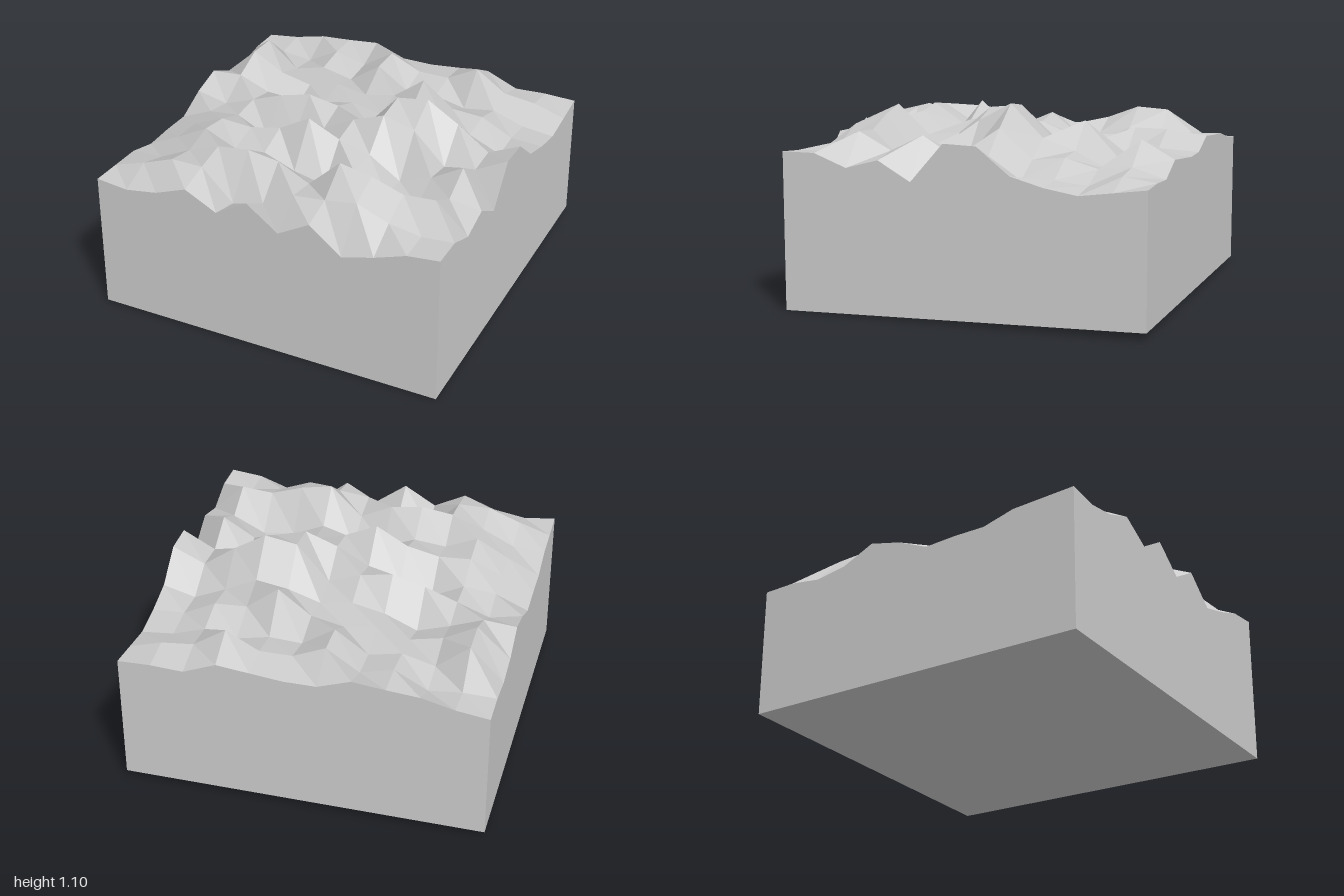
import * as THREE from 'three';

const N = 11; // cells along each side

// Ground cross-sections from -x to +x; each runs back to front, in hundredths
const SECTIONS = [
  [76, 76.5, 74, 77, 85.5, 81, 73, 74, 74, 79, 80, 81],
  [78.5, 77, 93, 94, 87, 77, 81, 82, 83, 80, 86, 79],
  [83, 75, 78, 84, 80, 84, 83, 90, 93, 89, 93, 82],
  [84.5, 85, 83, 80, 74, 91, 74, 89, 85, 96, 93, 89],
  [86.5, 80, 79, 85, 82, 96, 80, 93, 87, 98.5, 75, 79.5],
  [80, 92, 92, 82, 86, 93, 88, 103.5, 80, 96, 80, 90.5],
  [80, 84, 80, 86, 83, 86, 98, 95, 76, 87, 90, 77],
  [82, 84, 81, 100, 89, 107, 105, 90, 88, 104.5, 92, 87.5],
  [84, 94, 77, 86, 92, 110, 100, 78, 80, 101, 95, 73],
  [76.5, 82, 80, 85, 83, 99, 82, 85, 78, 95, 88, 78],
  [77.5, 80, 74, 76, 75, 86, 85, 96, 87, 96.5, 85, 84.5],
  [77, 74.5, 72, 75, 80, 94.5, 95, 74, 84.5, 79.5, 86.5, 86.5],
];

const coord = (i) => -1 + (2 * i) / N;
const top = (i, j) => [coord(i), SECTIONS[i][j] / 100, coord(j)];

// Underside is slightly tilted, blended between its four corners
const lerp = THREE.MathUtils.lerp;
const bottom = (i, j) => [
  coord(i),
  lerp(lerp(0.025, 0.04, i / N), lerp(0.015, 0, i / N), j / N),
  coord(j),
];

// Faceted mesh from quads whose corners run counter-clockwise
function quadMesh(name, quads) {
  const positions = [];
  for (const [a, b, c, d] of quads) positions.push(...a, ...b, ...c, ...a, ...c, ...d);
  const geometry = new THREE.BufferGeometry();
  geometry.setAttribute('position', new THREE.Float32BufferAttribute(positions, 3));
  geometry.computeVertexNormals();
  const material = new THREE.MeshStandardMaterial({ color: 0xcccccc, flatShading: true });
  const mesh = new THREE.Mesh(geometry, material);
  mesh.name = name;
  return mesh;
}

// Wall along one side; at(k) gives the grid indices, left to right seen from outside
function wall(name, at) {
  const quads = [];
  for (let k = 0; k < N; k++) {
    const p = at(k), q = at(k + 1);
    quads.push([bottom(...p), bottom(...q), top(...q), top(...p)]);
  }
  return quadMesh(name, quads);
}

export function createModel() {
  const model = new THREE.Group();
  model.name = 'terrainBlock';

  // Rugged ground
  const ground = [];
  for (let i = 0; i < N; i++) {
    for (let j = 0; j < N; j++) {
      ground.push([top(i, j), top(i, j + 1), top(i + 1, j + 1), top(i + 1, j)]);
    }
  }
  model.add(quadMesh('ground', ground));

  // Cut sides
  model.add(
    wall('frontWall', (k) => [k, N]),
    wall('leftWall', (k) => [N, N - k]),
    wall('backWall', (k) => [N - k, 0]),
    wall('rightWall', (k) => [0, k]),
  );

  // Underside
  model.add(quadMesh('underside', [[bottom(0, 0), bottom(N, 0), bottom(N, N), bottom(0, N)]]));

  return model;
}
